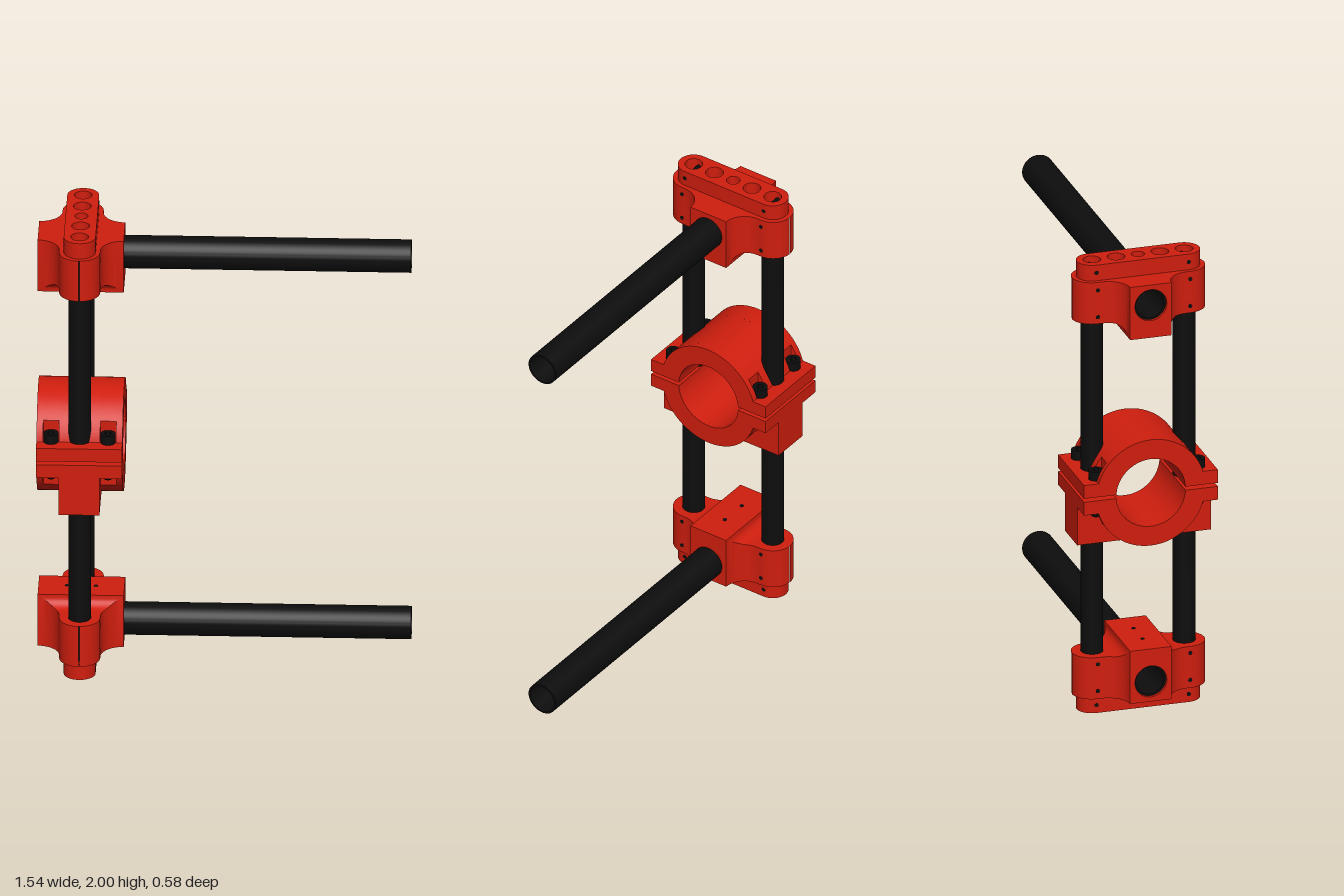
import * as THREE from 'three';
import { toCreasedNormals } from 'three/addons/utils/BufferGeometryUtils.js';

const red = new THREE.MeshStandardMaterial({ color: 0xd01e0e });
const darkRed = new THREE.MeshStandardMaterial({ color: 0x8a1208 });
const black = new THREE.MeshStandardMaterial({ color: 0x0d0d0d });
const CX = -0.595; // plane of the upright rods

function add(parent, name, geo, mat, x = 0, y = 0, z = 0) {
  const m = new THREE.Mesh(geo, mat);
  m.name = name;
  m.position.set(x, y, z);
  parent.add(m);
  return m;
}

const circle = (r, x = 0, y = 0) => new THREE.Path().absarc(x, y, r, 0, Math.PI * 2, false);

function extrude(shape, depth) {
  const g = new THREE.ExtrudeGeometry(shape, { depth, bevelEnabled: false, curveSegments: 32 });
  return toCreasedNormals(g.translate(0, 0, -depth / 2), 0.5);
}
const alongX = (shape, depth) => extrude(shape, depth).rotateY(Math.PI / 2);
const alongY = (shape, depth) => extrude(shape, depth).rotateX(Math.PI / 2);

function pipe(outer, inner) {
  const s = new THREE.Shape().absarc(0, 0, outer, 0, Math.PI * 2, false);
  s.holes.push(circle(inner));
  return s;
}

// Side lobe of an end block: rectangular sections whose width and underside follow fillets
function lobeGeometry() {
  const sections = [];
  const N = 10;
  const push = (z, w) => {
    const yb = z < 0.14 ? -0.145 + Math.sqrt(Math.max(0, 0.0025 - (z - 0.14) ** 2)) : -0.095;
    sections.push([[-w, yb, z], [w, yb, z], [w, 0.09, z], [-w, 0.09, z]]);
  };
  for (let i = 0; i <= N; i++) {
    const t = (i / N) * Math.PI / 2;
    push(0.09 + 0.093 * (1 - Math.cos(t)), 0.178 - 0.093 * Math.sin(t));
  }
  for (let i = 0; i <= N; i++) {
    const t = (i / N) * Math.PI / 2;
    push(0.2 + 0.087 * Math.sin(t), Math.max(0.002, 0.085 * Math.cos(t)));
  }
  const pos = [];
  for (let i = 0; i < sections.length - 1; i++) {
    for (let k = 0; k < 4; k++) {
      const a = sections[i][k], b = sections[i][(k + 1) % 4];
      const c = sections[i + 1][(k + 1) % 4], d = sections[i + 1][k];
      pos.push(...a, ...b, ...c, ...a, ...c, ...d);
    }
  }
  const g = new THREE.BufferGeometry();
  g.setAttribute('position', new THREE.Float32BufferAttribute(pos, 3));
  return toCreasedNormals(g, 0.5);
}

// End block with bored centre, two lobes, perforated cap and small screw holes
function endBlock(name) {
  const g = new THREE.Group();
  g.name = name;
  const core = new THREE.Shape();
  core.moveTo(-0.09, -0.145).lineTo(0.09, -0.145).lineTo(0.09, 0.09).lineTo(-0.09, 0.09);
  core.holes.push(circle(0.069));
  add(g, 'blockCore', alongX(core, 0.356), red);
  const lobe = lobeGeometry();
  add(g, 'blockLobe', lobe, red);
  add(g, 'blockLobe', lobe, red).rotation.y = Math.PI;

  const cap = new THREE.Shape();
  cap.absarc(0, 0.2, 0.066, 0, Math.PI, false);
  cap.absarc(0, -0.2, 0.066, Math.PI, Math.PI * 2, false);
  [[-0.2, 0.037], [-0.095, 0.037], [0, 0.028], [0.095, 0.037], [0.2, 0.037]]
    .forEach(([z, r]) => cap.holes.push(circle(r, 0, z)));
  add(g, 'cap', alongY(cap, 0.07), red, 0, 0.125, 0);
  for (const z of [-0.2, 0.2]) {
    add(g, 'capHoleFloor', new THREE.CylinderGeometry(0.037, 0.037, 0.002, 24), black, 0, 0.091, z);
    for (const [y, w] of [[0.125, 0.134], [0.055, 0.172], [-0.065, 0.172]]) {
      add(g, 'screwHole', new THREE.CylinderGeometry(0.009, 0.009, w, 10).rotateZ(Math.PI / 2), black, 0, y, z);
    }
  }
  for (const x of [-0.06, 0.06]) {
    add(g, 'screwHole', new THREE.CylinderGeometry(0.009, 0.009, 0.004, 10), black, x, -0.1445, 0);
  }
  // Long hollow arm passing through the block
  add(g, 'armTube', alongX(pipe(0.069, 0.061), 1.53), black, 0.6, 0, 0);
  return g;
}

// Half of the ring clamp, seen as its upper half: plain ring, notched for bolts, or squared off
function clampProfile(kind) {
  const R = 0.236, r = 0.15, gap = 0.008, f = 0.067, Z = 0.29;
  const s = new THREE.Shape();
  s.moveTo(r, gap).lineTo(Z, gap);
  if (kind === 'box') {
    s.lineTo(Z, R).lineTo(-Z, R);
  } else {
    const edge = kind === 'notch' ? 0.185 : Math.sqrt(R * R - f * f);
    const a = Math.acos(edge / R);
    s.lineTo(Z, f).lineTo(edge, f);
    s.absarc(0, 0, R, a, Math.PI - a, false);
    s.lineTo(-edge, f).lineTo(-Z, f);
  }
  s.lineTo(-Z, gap);
  const b = Math.asin(gap / r);
  s.absarc(0, 0, r, Math.PI - b, b, true);
  return s;
}

function clampHalf(name, middle) {
  const g = new THREE.Group();
  g.name = name;
  const cuts = [-0.178, -0.151, -0.085, 0.085, 0.151, 0.178];
  ['ring', 'notch', middle, 'notch', 'ring'].forEach((kind, i) => {
    const w = cuts[i + 1] - cuts[i];
    add(g, 'clampSlice', alongX(clampProfile(kind), w), red, cuts[i] + w / 2, 0, 0);
  });
  return g;
}

export function createModel() {
  const model = new THREE.Group();

  const top = endBlock('topEndBlock');
  top.position.set(CX, 1.84, 0);
  const bottom = endBlock('bottomEndBlock');
  bottom.position.set(CX, 0.16, 0);
  bottom.rotation.x = Math.PI;
  model.add(top, bottom);

  // Upright rods
  for (const z of [-0.2, 0.2]) {
    add(model, 'uprightRod', alongY(pipe(0.047, 0.038), 1.82), black, CX, 1, z);
  }

  // Ring clamp in the middle
  const clamp = new THREE.Group();
  clamp.name = 'ringClamp';
  clamp.position.set(CX, 1.003, 0);
  const lower = clampHalf('lowerClampHalf', 'box');
  lower.rotation.x = Math.PI;
  clamp.add(clampHalf('upperClampHalf', 'ring'), lower);
  add(clamp, 'bottomHole', new THREE.CylinderGeometry(0.045, 0.045, 0.004, 24), darkRed, 0, -0.2355, 0);

  // Clamp bolts with socket heads above and hex nuts below
  const head = new THREE.Shape().absarc(0, 0, 0.031, 0, Math.PI * 2, false);
  head.holes.push(new THREE.Path(Array.from({ length: 6 }, (_, i) =>
    new THREE.Vector2(Math.cos(i * Math.PI / 3), Math.sin(i * Math.PI / 3)).multiplyScalar(0.016))));
  for (const x of [-0.118, 0.118]) {
    for (const z of [-0.22, 0.22]) {
      add(clamp, 'boltHead', alongY(head, 0.04), black, x, 0.087, z);
      add(clamp, 'boltShank', new THREE.CylinderGeometry(0.016, 0.016, 0.18, 16), black, x, -0.01, z);
      add(clamp, 'nut', new THREE.CylinderGeometry(0.03, 0.03, 0.024, 6), black, x, -0.079, z);
    }
  }
  model.add(clamp);
  return model;
}
